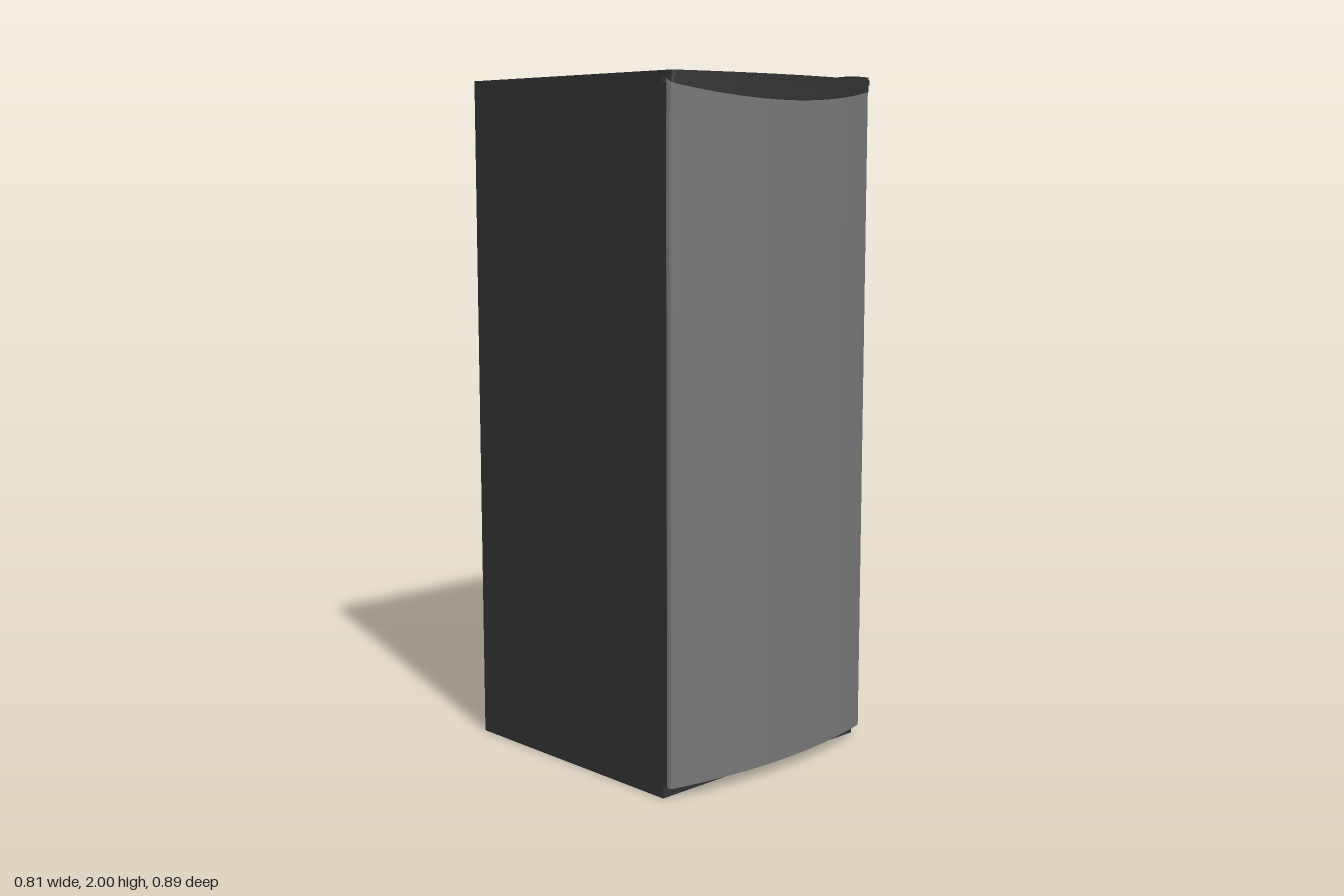
import * as THREE from 'three';
import { toCreasedNormals } from 'three/addons/utils/BufferGeometryUtils.js';

const W = 0.403;      // half width
const BACK = -0.447;
const dark = new THREE.MeshStandardMaterial({ color: 0x333333 });
const grey = new THREE.MeshStandardMaterial({ color: 0x777777 });

// Height of the sloping joint between door and top cap
const slope = (z) => 1.965 - (z - 0.385) * 0.72;

// Plan outline: flat back, rounded corners and a bowed front
function bowedPlan(back, front) {
  const bow = (x) => front - 0.047 * (x / 0.39) ** 2;
  const s = new THREE.Shape();
  s.moveTo(-W, -back);
  s.lineTo(-W, -bow(W) + 0.014);
  s.quadraticCurveTo(-W, -bow(0.39) + 0.002, -0.39, -bow(0.39));
  for (let i = 1; i <= 24; i++) {
    const x = -0.39 + (0.78 * i) / 24;
    s.lineTo(x, -bow(x));
  }
  s.quadraticCurveTo(W, -bow(0.39) + 0.002, W, -bow(W) + 0.014);
  s.lineTo(W, -back);
  s.closePath();
  return s;
}

// Extrude the plan upwards, then set heights of the lower and upper ends by rule
function upright(shape, bottom, top) {
  const g = new THREE.ExtrudeGeometry(shape, { depth: 1, bevelEnabled: false, curveSegments: 5 });
  g.rotateX(-Math.PI / 2);
  const p = g.attributes.position;
  for (let i = 0; i < p.count; i++) {
    p.setY(i, (p.getY(i) > 0.5 ? top : bottom)(p.getZ(i)));
  }
  return toCreasedNormals(g, 0.5);
}

function add(group, name, geometry, material) {
  const mesh = new THREE.Mesh(geometry, material);
  mesh.name = name;
  group.add(mesh);
  return mesh;
}

function box(group, name, x0, x1, y0, y1, z0, z1) {
  const mesh = add(group, name, new THREE.BoxGeometry(x1 - x0, y1 - y0, z1 - z0), dark);
  mesh.position.set((x0 + x1) / 2, (y0 + y1) / 2, (z0 + z1) / 2);
}

export function createModel() {
  const group = new THREE.Group();
  group.name = 'refrigerator';

  // Cabinet and the seal strip behind the door
  box(group, 'cabinet', -W, W, 0, 1.992, BACK, 0.36);
  box(group, 'doorSeal', -W, W, 0.035, 1.96, 0.36, 0.376);

  // Bowed door with its top cut along the slope
  add(group, 'door', upright(bowedPlan(0.374, 0.441), () => 0.035, slope), grey);

  // Top cap overhanging the door, with a thin lip along its upper edge
  add(group, 'topCap', upright(bowedPlan(0.358, 0.443), slope, () => 1.978), dark);
  add(group, 'topLip', upright(bowedPlan(0.358, 0.447), () => 1.978, () => 1.992), dark);

  // Hinge cover on the upper corner, following the bowed front
  const hinge = new THREE.Shape();
  hinge.moveTo(0.31, -0.355);
  hinge.lineTo(0.31, -0.413);
  hinge.lineTo(0.385, -0.398);
  hinge.quadraticCurveTo(W, -0.395, W, -0.38);
  hinge.lineTo(W, -0.355);
  hinge.closePath();
  add(group, 'hingeCover', upright(hinge, () => 1.985, () => 2), dark);

  return group;
}
